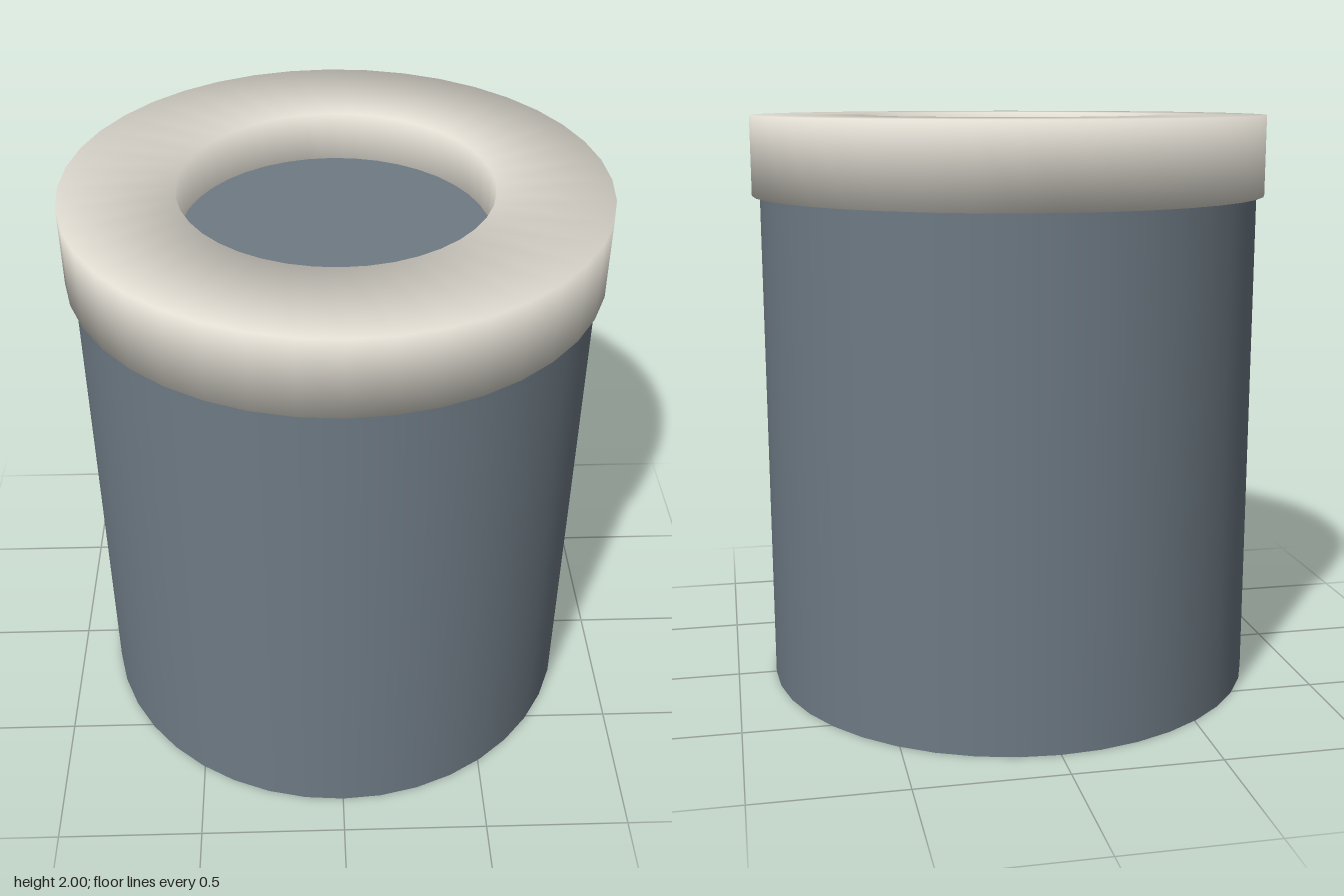
import * as THREE from 'three';

const SEGMENTS = 40;

export function createModel() {
  const group = new THREE.Group();
  group.name = 'cappedCylinder';

  const slate = new THREE.MeshStandardMaterial({ name: 'slate grey', color: 0x6e7a84 });
  const ivory = new THREE.MeshStandardMaterial({ name: 'ivory', color: 0xe0dcd2 });

  // Solid drum, its top ending inside the rim
  const bodyHeight = 1.83;
  const body = new THREE.Mesh(
    new THREE.CylinderGeometry(0.865, 0.865, bodyHeight, SEGMENTS), slate);
  body.position.y = bodyHeight / 2;
  body.name = 'body';
  group.add(body);

  // Square-section ring with soft normals; the profile starts and ends inside the body
  const inner = 0.515, outer = 0.892, bottom = 1.73, top = 2;
  const profile = [
    [0.7, bottom], [outer, bottom], [outer, top],
    [inner, top], [inner, bottom], [0.7, bottom],
  ].map(([r, y]) => new THREE.Vector2(r, y));
  const rim = new THREE.Mesh(new THREE.LatheGeometry(profile, SEGMENTS), ivory);
  rim.name = 'rim';
  group.add(rim);

  return group;
}
